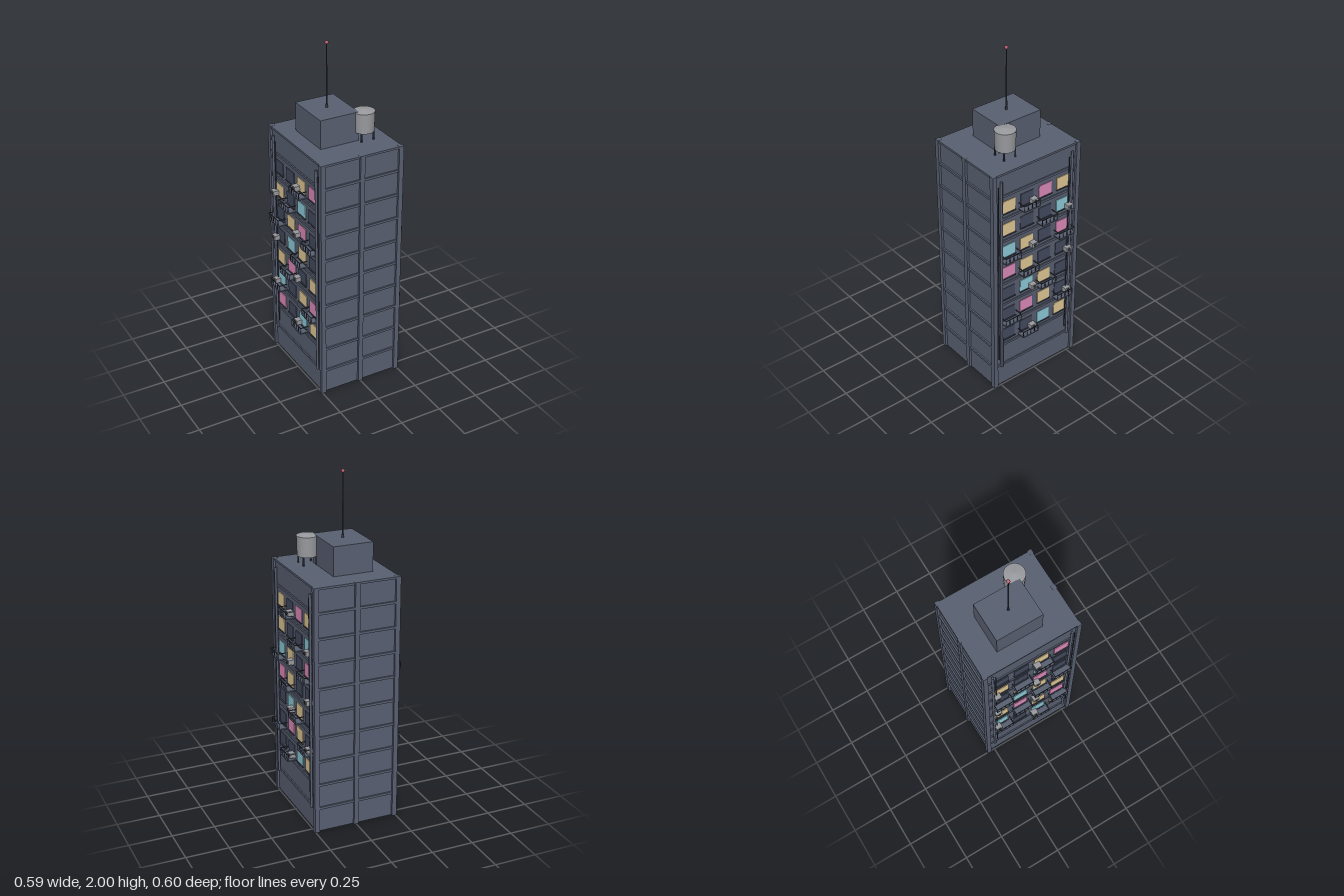
import * as THREE from 'three';

const mat = (name, color) => Object.assign(new THREE.MeshStandardMaterial({ color }), { name });

export function createModel() {
  const root = new THREE.Group();
  root.name = 'towerBlock';
  const M = {
    wall: mat('wall slate', 0x596072),
    dark: mat('dark metal', 0x3a3f4c),
    D: mat('unlit window', 0x444b60),
    Y: mat('yellow window', 0xe3cb96),
    P: mat('pink window', 0xe08cbb),
    C: mat('cyan window', 0x8ecddb),
    grey: mat('light grey', 0x9a9b9f),
    red: mat('beacon red', 0xc8607a),
  };

  const add = (parent, name, geo, m, x, y, z) => {
    const mesh = new THREE.Mesh(geo, m);
    mesh.name = name;
    mesh.position.set(x, y, z);
    parent.add(mesh);
    return mesh;
  };
  const box = (p, name, m, w, h, d, x, y, z) => add(p, name, new THREE.BoxGeometry(w, h, d), m, x, y, z);
  const rod = (p, name, m, r, h, x, y, z, n = 10) =>
    add(p, name, new THREE.CylinderGeometry(r, r, h, n), m, x, y, z);

  // Main shell, pillars and floor bands
  const H = 1.455, STEP = 0.145;
  box(root, 'body', M.wall, 0.484, H - 0.002, 0.576, 0, H / 2, 0);
  for (const x of [-0.241, 0, 0.241])
    for (const z of [-0.288, 0.288])
      box(root, 'pillar', M.wall, 0.028, H, 0.027, x, H / 2, z);
  for (let i = 1; i <= 9; i++)
    box(root, 'floorBand', M.wall, 0.498, 0.014, 0.595, 0, i * STEP + 0.003, 0);
  box(root, 'roofEdge', M.wall, 0.498, 0.012, 0.595, 0, H - 0.007, 0);

  // Window colours: one string per floor from the top, columns from front to back
  const lights = {
    1: ['YDPY', 'YDDC', 'CYDP', 'PYDD', 'DCYD', 'DPYD', 'DDCY'],
    '-1': ['PYDD', 'DCDY', 'DPYD', 'DYCD', 'YDPY', 'PYDC', 'YCDP'],
  };
  const columns = [0.19, 0.0635, -0.0635, -0.19];

  // Balcony: slab with front and side railings
  const balcony = (parent, s, y, z) => {
    const g = new THREE.Group();
    g.name = 'balcony';
    parent.add(g);
    box(g, 'slab', M.wall, 0.052, 0.007, 0.112, s * 0.267, y, z);
    box(g, 'frontRail', M.dark, 0.004, 0.004, 0.112, s * 0.291, y + 0.037, z);
    for (const e of [-1, 1])
      box(g, 'sideRail', M.dark, 0.05, 0.004, 0.004, s * 0.267, y + 0.037, z + e * 0.054);
    for (let k = 0; k < 5; k++)
      box(g, 'railPost', M.dark, 0.003, 0.036, 0.003, s * 0.291, y + 0.019, z - 0.054 + k * 0.027);
  };

  // Air conditioner with a round fan on its outer face
  const airConditioner = (parent, s, y, z) => {
    const g = new THREE.Group();
    g.name = 'airConditioner';
    parent.add(g);
    box(g, 'unit', M.grey, 0.036, 0.028, 0.038, s * 0.26, y, z);
    const fan = rod(g, 'fan', M.dark, 0.01, 0.004, s * 0.279, y, z, 12);
    fan.rotation.z = Math.PI / 2;
  };

  for (const s of [1, -1]) {
    const side = new THREE.Group();
    side.name = s > 0 ? 'leftFacade' : 'rightFacade';
    root.add(side);
    lights[s].forEach((row, r) => {
      const y = 1.235 - r * STEP;
      columns.forEach((z, c) => {
        box(side, 'window', M[row[c]], 0.006, 0.075, 0.088, s * 0.243, y, z);
        box(side, 'windowSill', M.dark, 0.012, 0.005, 0.094, s * 0.246, y - 0.04, z);
        if ((c - r + 8) % 3 === 0) balcony(side, s, y - 0.05, z);
      });
      airConditioner(side, s, y - 0.022, (r % 2 ? -0.19 : 0.0635) - 0.034);
    });
    // Drain pipes with a thin conduit beside each
    for (const z of [-0.245, 0.245]) {
      rod(side, 'drainPipe', M.wall, 0.0075, 1.27, s * 0.253, 0.775, z);
      rod(side, 'conduit', M.dark, 0.0035, 1.18, s * 0.252, 0.79, z + 0.019, 6);
    }
  }

  // Roof house and antenna
  box(root, 'roofHouse', M.wall, 0.235, 0.168, 0.28, -0.0375, 1.537, -0.02);
  rod(root, 'antennaBase', M.dark, 0.007, 0.02, -0.038, 1.63, -0.02);
  add(root, 'antennaMast', new THREE.CylinderGeometry(0.0025, 0.005, 0.37, 8), M.dark, -0.038, 1.805, -0.02);
  add(root, 'beacon', new THREE.SphereGeometry(0.01, 12, 8), M.red, -0.038, 1.99, -0.02);

  // Water tank on four legs
  const tank = new THREE.Group();
  tank.name = 'waterTank';
  tank.position.set(0.117, 0, 0.112);
  root.add(tank);
  add(tank, 'tankBody', new THREE.CylinderGeometry(0.06, 0.057, 0.115, 24), M.grey, 0, 1.5605, 0);
  add(tank, 'tankLid', new THREE.ConeGeometry(0.06, 0.009, 24, 1, true), M.grey, 0, 1.6225, 0);
  for (const x of [-0.038, 0.038])
    for (const z of [-0.038, 0.038])
      rod(tank, 'tankLeg', M.dark, 0.005, 0.052, x, 1.479, z, 8);

  return root;
}
